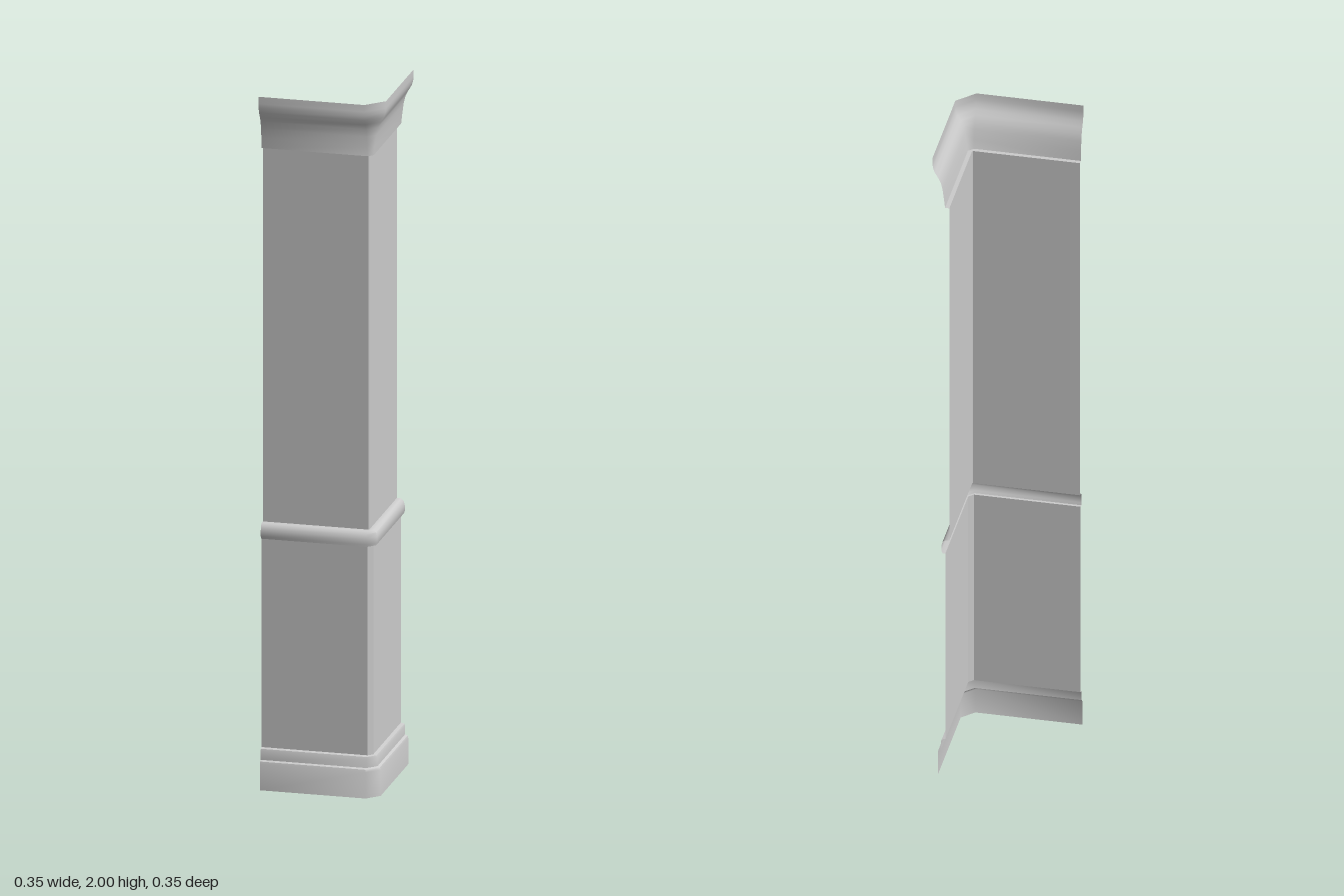
import * as THREE from 'three';
import { toCreasedNormals } from 'three/addons/utils/BufferGeometryUtils.js';

const END = -0.175;    // free edges of both wings
const CORNER = 0.125;  // where the straight runs stop and the corner bevel begins

// Sweeps a profile of [outward offset, height] points along the two wings of the L.
function sweepCorner(profile, crease) {
  const positions = [];
  const index = [];
  for (const [d, y] of profile) {
    positions.push(END, y, d, CORNER, y, d, d, y, CORNER, d, y, END);
  }
  for (let row = 0; row < profile.length - 1; row++) {
    for (let col = 0; col < 3; col++) {
      const a = row * 4 + col;
      index.push(a, a + 1, a + 5, a, a + 5, a + 4);
    }
  }
  const geometry = new THREE.BufferGeometry();
  geometry.setAttribute('position', new THREE.Float32BufferAttribute(positions, 3));
  geometry.setIndex(index);
  return toCreasedNormals(geometry, THREE.MathUtils.degToRad(crease));
}

export function createModel() {
  const group = new THREE.Group();
  const material = new THREE.MeshStandardMaterial({ color: 0xcccccc, side: THREE.DoubleSide });

  function addPart(name, profile, crease) {
    const mesh = new THREE.Mesh(sweepCorner(profile, crease), material);
    mesh.name = name;
    group.add(mesh);
  }

  // Plinth with a small eased top edge
  addPart('basePlinth', [[0.159, 0], [0.159, 0.075], [0.157, 0.082], [0.15, 0.085]], 50);
  // Thin fillet above the plinth
  addPart('baseFillet', [[0.15, 0.085], [0.15, 0.11], [0.148, 0.116], [0.138, 0.118]], 50);
  // Thicker lower wall panels
  addPart('lowerWall', [[0.138, 0.118], [0.138, 0.72]], 30);
  // Rounded rail between the wall panels
  addPart('chairRail', [
    [0.138, 0.72], [0.146, 0.72], [0.149, 0.727], [0.149, 0.745],
    [0.146, 0.757], [0.139, 0.763], [0.127, 0.764],
  ], 50);
  // Upper wall panels
  addPart('upperWall', [[0.127, 0.764], [0.127, 1.842]], 30);
  // Flared crown moulding
  addPart('crownMoulding', [
    [0.127, 1.842], [0.139, 1.842], [0.142, 1.87], [0.146, 1.9], [0.151, 1.922],
    [0.159, 1.938], [0.168, 1.953], [0.173, 1.968], [0.174, 1.98], [0.174, 2],
  ], 50);

  return group;
}
